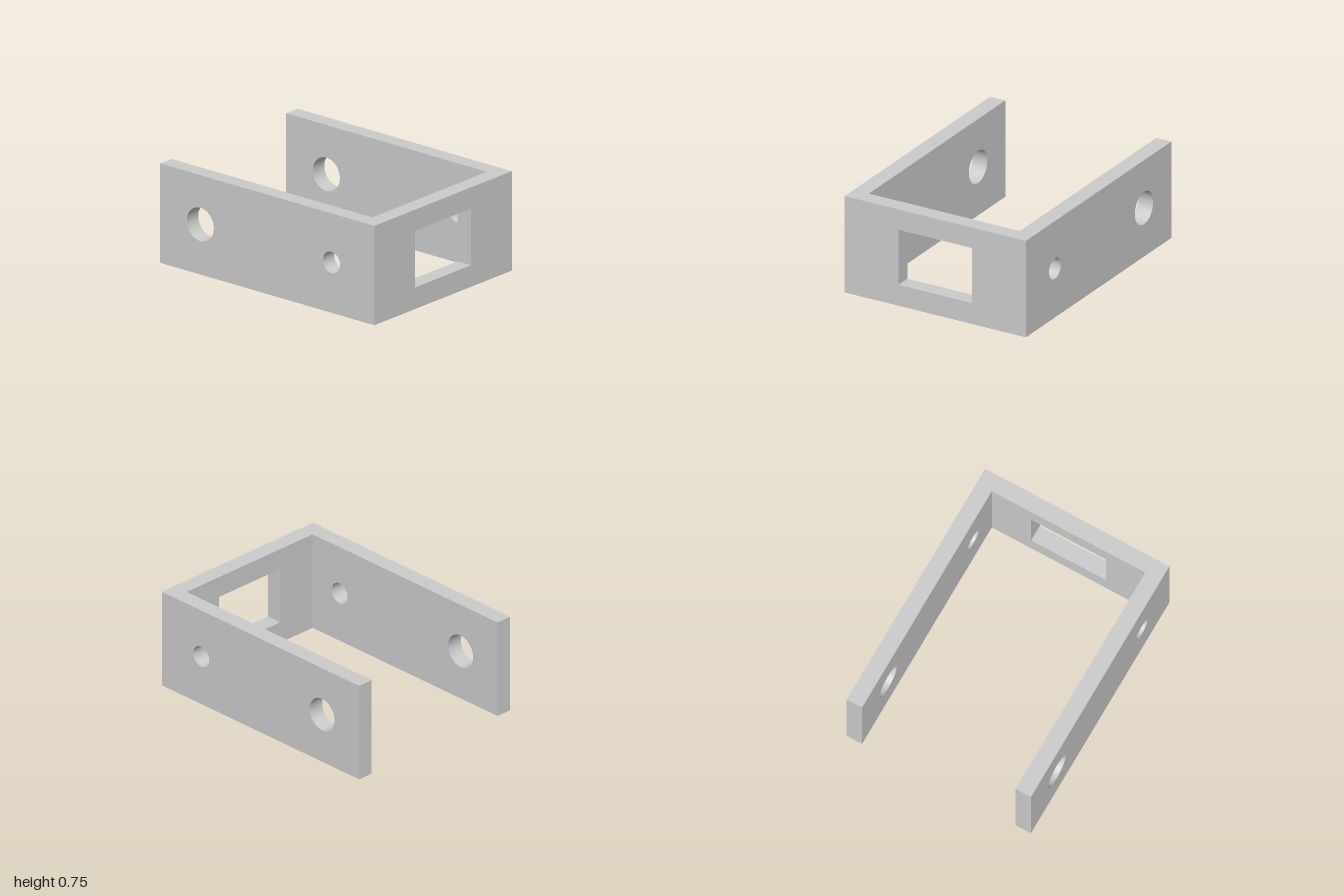
import * as THREE from 'three';
import { toCreasedNormals } from 'three/addons/utils/BufferGeometryUtils.js';

const HEIGHT = 0.75, HALF_WIDTH = 0.75, HALF_LENGTH = 1, WALL = 0.125;

function rectangle(path, x0, y0, x1, y1) {
  path.moveTo(x0, y0).lineTo(x1, y0).lineTo(x1, y1).lineTo(x0, y1).closePath();
  return path;
}

function roundHole(x, y, radius) {
  return new THREE.Path().absarc(x, y, radius, 0, Math.PI * 2, true);
}

// Flat plate of wall thickness with holes cut through it
function plate(halfLength, holes) {
  const shape = rectangle(new THREE.Shape(), -halfLength, 0, halfLength, HEIGHT);
  shape.holes.push(...holes);
  const geometry = new THREE.ExtrudeGeometry(shape, { depth: WALL, bevelEnabled: false, curveSegments: 48 });
  return toCreasedNormals(geometry, Math.PI / 6);
}

export function createModel() {
  const group = new THREE.Group();
  group.name = 'uBracket';
  const material = new THREE.MeshStandardMaterial({ color: 0xcccccc });

  // Two side arms, each with a small front hole and a large rear hole
  const armGeometry = plate(HALF_LENGTH, [
    roundHole(-0.6, 0.38, 0.08),
    roundHole(0.625, 0.378, 0.126),
  ]).rotateY(Math.PI / 2);
  for (const [name, x] of [['leftArm', HALF_WIDTH - WALL], ['rightArm', -HALF_WIDTH]]) {
    const arm = new THREE.Mesh(armGeometry, material);
    arm.name = name;
    arm.position.x = x;
    group.add(arm);
  }

  // Front web between the arms, with a rectangular window
  const opening = rectangle(new THREE.Path(), -0.305, 0.163, 0.305, 0.591);
  const web = new THREE.Mesh(plate(HALF_WIDTH - WALL, [opening]), material);
  web.name = 'frontWeb';
  web.position.z = HALF_LENGTH - WALL;
  group.add(web);

  return group;
}
